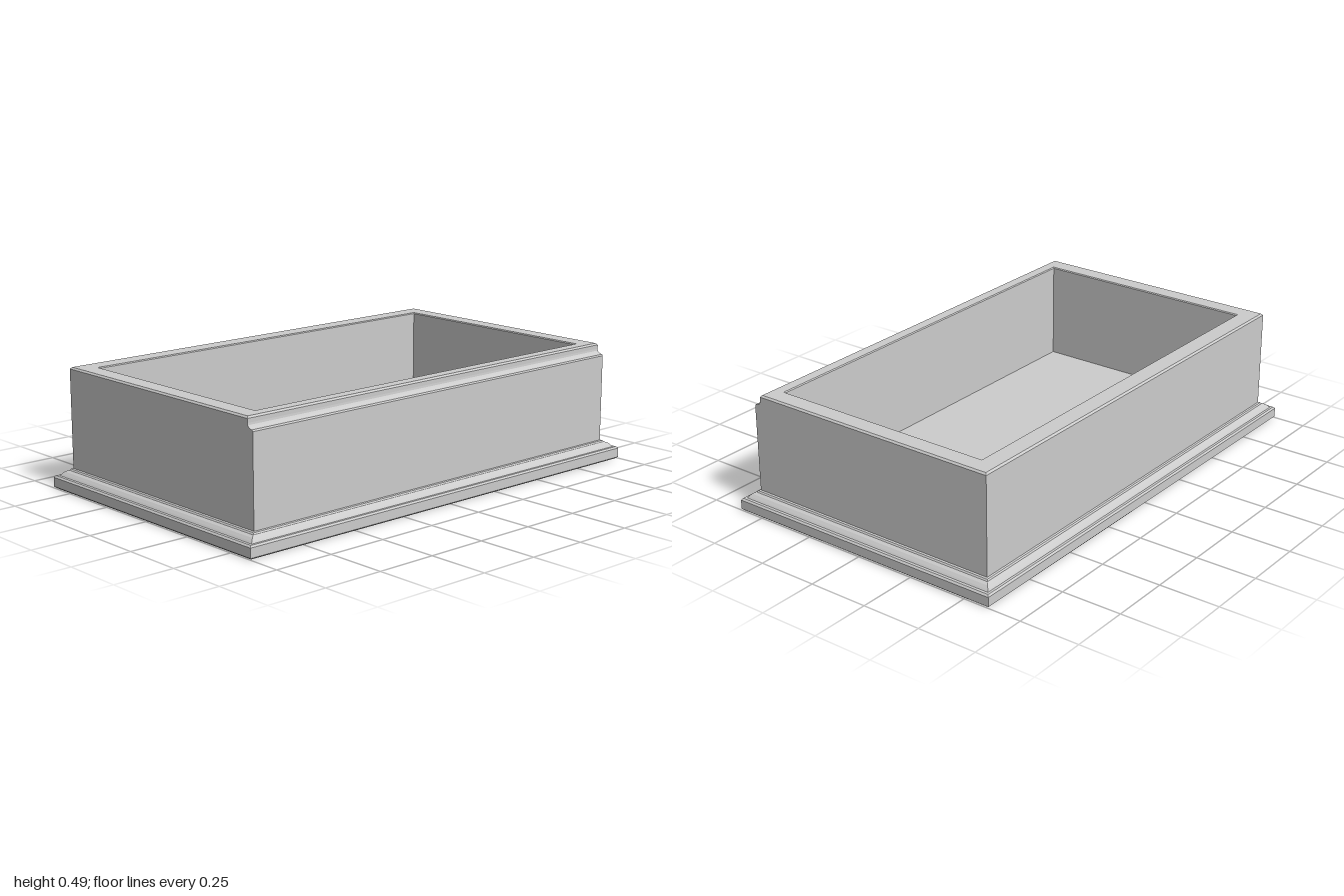
import * as THREE from 'three';

const material = new THREE.MeshStandardMaterial({ color: 0xcccccc, flatShading: true });

// Skin a stack of rectangular rings [left x, right x, half depth, y]; cap either end on request.
function loft(name, rings, capStart, capEnd) {
  const pos = [];
  const corners = ([x0, x1, z, y]) => [[x0, y, z], [x1, y, z], [x1, y, -z], [x0, y, -z]];
  const quad = (a, b, c, d) => pos.push(...a, ...b, ...c, ...a, ...c, ...d);
  for (let i = 0; i < rings.length - 1; i++) {
    const a = corners(rings[i]), b = corners(rings[i + 1]);
    for (let k = 0; k < 4; k++) {
      const n = (k + 1) % 4;
      quad(a[k], a[n], b[n], b[k]);
    }
  }
  if (capStart) quad(...corners(rings[0]).reverse());
  if (capEnd) quad(...corners(rings[rings.length - 1]));
  const geometry = new THREE.BufferGeometry();
  geometry.setAttribute('position', new THREE.Float32BufferAttribute(pos, 3));
  geometry.computeVertexNormals();
  const mesh = new THREE.Mesh(geometry, material);
  mesh.name = name;
  return mesh;
}

export function createModel() {
  const group = new THREE.Group();
  group.name = 'box';
  const W = 0.558, D = 0.94;

  // Moulded plinth: [overhang beyond the walls, height]
  const plinth = [
    [0.046, 0], [0.052, 0.006], [0.052, 0.044], [0.046, 0.051], [0.036, 0.051],
    [0.031, 0.058], [0.023, 0.067], [0.014, 0.072], [0.011, 0.072], [0.007, 0.078], [0, 0.08],
  ].map(([o, y]) => [-W - o, W + o, D + o * 1.15, y]);
  group.add(loft('plinth', plinth, true, false));

  // Walls: up the outside, over the rim, down the inside to the floor.
  // Only the right-hand x varies along the rebate on the +x edge.
  const rebate = [
    [W, 0.08], [W, 0.44], [0.554, 0.446], [0.545, 0.447],
    [0.536, 0.452], [0.531, 0.458], [0.53, 0.466], [0.53, 0.482],
  ].map(([x, y]) => [-W, x, D, y]);
  const rim = [
    [-W + 0.007, 0.523, D - 0.007, 0.489],
    [-0.479, 0.479, 0.864, 0.489],
    [-0.475, 0.475, 0.86, 0.485],
    [-0.475, 0.475, 0.86, 0.08],
  ];
  group.add(loft('wallsAndFloor', [...rebate, ...rim], false, true));

  return group;
}
